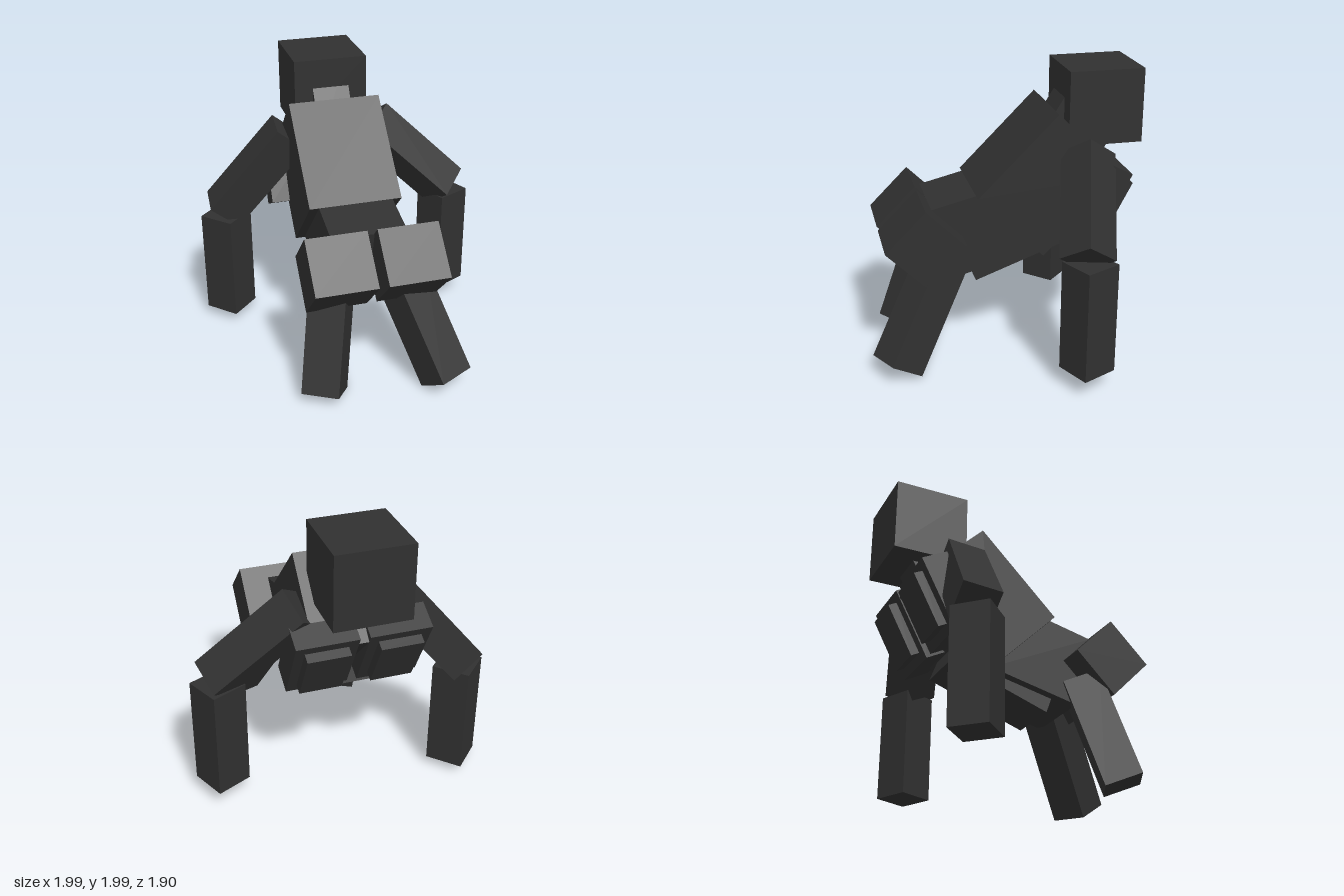
import * as THREE from 'three';

const U = 0.0645; // building unit
const MID = -0.043; // x of the body's centre line
const rad = THREE.MathUtils.degToRad;

export function createModel() {
  const model = new THREE.Group();
  const charcoal = new THREE.MeshStandardMaterial({ color: 0x303030 });
  charcoal.name = 'charcoal';

  function block(name, size, pos) {
    const mesh = new THREE.Mesh(new THREE.BoxGeometry(...size), charcoal);
    mesh.name = name;
    mesh.position.set(...pos);
    model.add(mesh);
    return mesh;
  }

  // Body block pitched about x, in degrees
  function pitched(name, size, pos, deg) {
    block(name, size, pos).rotation.x = rad(deg);
  }

  // Limb block whose long axis follows `up`, with one side facing `side`
  function limb(name, pos, up, side) {
    const y = new THREE.Vector3(...up).normalize();
    const x = new THREE.Vector3(...side);
    x.addScaledVector(y, -x.dot(y)).normalize();
    const z = new THREE.Vector3().crossVectors(x, y);
    block(name, [4 * U, 12 * U, 4 * U], pos)
      .quaternion.setFromRotationMatrix(new THREE.Matrix4().makeBasis(x, y, z));
  }

  // Head, neck and leaning trunk
  block('head', [0.515, 0.51, 0.515], [MID, 1.745, -0.697]);
  pitched('neck', [4 * U, 0.52, 0.447], [MID, 1.595, -0.577], -32);
  pitched('torso', [10 * U, 12 * U, 10 * U], [MID, 1.236, -0.302], -45);
  pitched('waist', [8 * U, 0.53, 0.65], [MID, 0.933, 0.132], 13.6);
  pitched('belly', [6 * U, 4 * U, 0.74], [MID, 0.782, -0.111], 20);

  // Paired chest blocks with raised panels, and hip blocks
  for (const s of [-1, 1]) {
    const x = MID + s * 0.242;
    pitched('chestBlock', [0.417, 8 * U, 3 * U], [x, 1.145, -0.6245], -27.7);
    pitched('chestPanel', [0.288, 6 * U, U], [x, 1.085, -0.739], -27.7);
    pitched('hip', [0.417, 6 * U, 6 * U], [x, 0.908, 0.571], 45);
  }

  // Legs in mid-stride
  limb('leftLeg', [0.314, 0.412, 0.617], [-0.283, 0.842, -0.463], [0.91, 0.08, -0.41]);
  limb('rightLeg', [-0.34, 0.413, 0.552], [0.154, 0.938, -0.28], [0.875, 0, 0.48]);

  // Upper arms
  limb('leftUpperArm', [0.554, 1.199, -0.475], [-0.708, 0.676, -0.206], [0.67, 0.47, -0.57]);
  limb('rightUpperArm', [-0.586, 1.168, -0.549], [0.6375, 0.7625, 0.125], [0.769, -0.639, -0.028]);

  // Hanging forearms
  const forearm = [4 * U, 12 * U, 4 * U];
  block('leftForearm', forearm, [0.818, 0.521, -0.417]).rotation.y = rad(25);
  block('rightForearm', forearm, [-0.815, 0.458, -0.58]).rotation.y = rad(45);

  return model;
}
